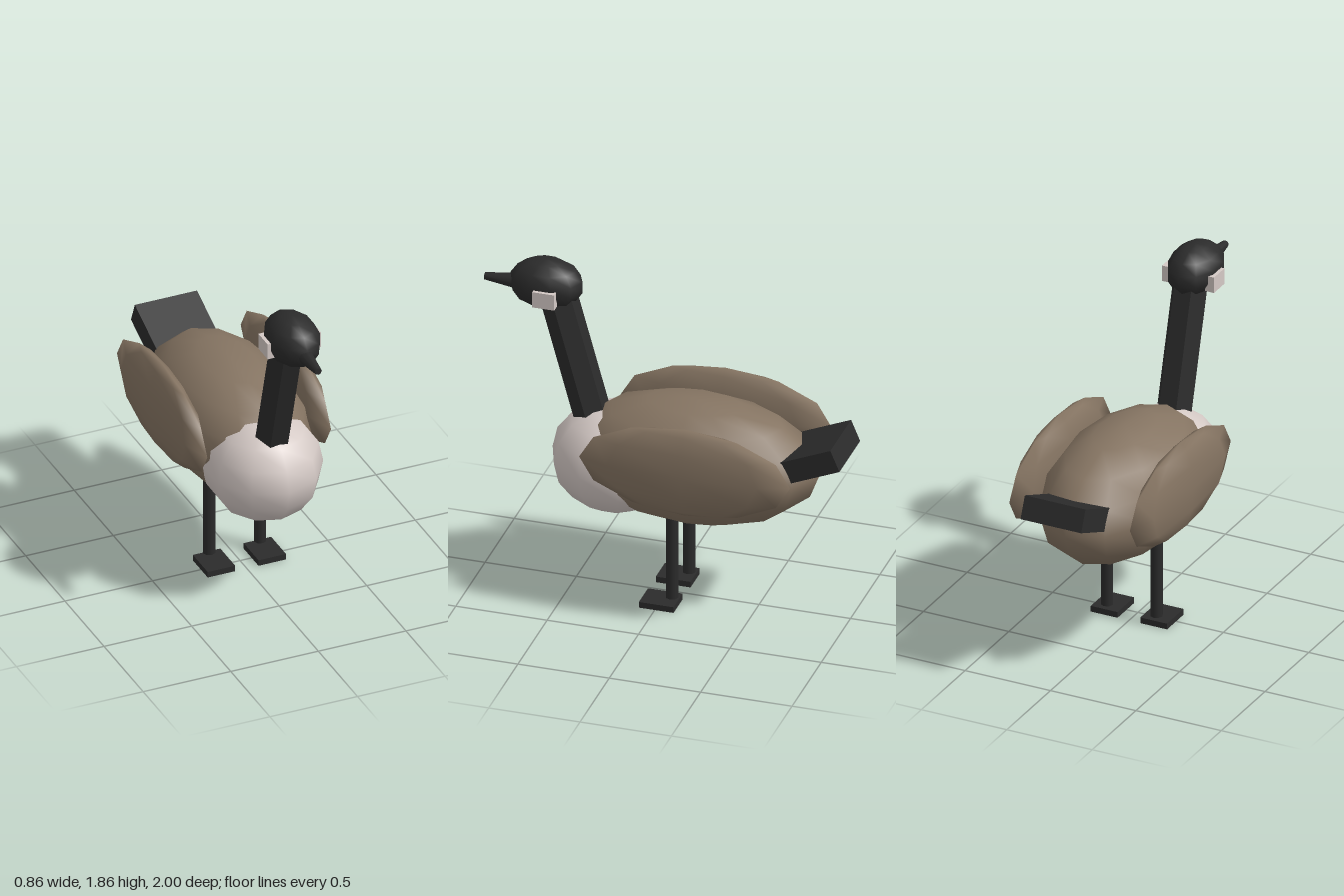
import * as THREE from 'three';

export function createModel() {
  const model = new THREE.Group();
  model.name = 'goose';

  const paint = (name, color) => {
    const m = new THREE.MeshStandardMaterial({ color });
    m.name = name;
    return m;
  };
  const brown = paint('brown feathers', 0x857462);
  const pale = paint('pale feathers', 0xd4c9c5);
  const black = paint('black', 0x2b2b2b);

  const add = (name, geometry, material, x, y, z) => {
    const mesh = new THREE.Mesh(geometry, material);
    mesh.name = name;
    mesh.position.set(x, y, z);
    model.add(mesh);
    return mesh;
  };

  // Low-poly ellipsoid with a column of vertices facing the front
  const ellipsoid = (rx, ry, rz, around, down) =>
    new THREE.SphereGeometry(1, around, down).rotateY(Math.PI / 2).scale(rx, ry, rz);

  // Faceted rod, kept flat on each side
  const rod = (rTop, rBottom, length, sides, turn = 0) => {
    const g = new THREE.CylinderGeometry(rTop, rBottom, length, sides).rotateY(turn).toNonIndexed();
    g.computeVertexNormals();
    return g;
  };

  // Body and breast
  add('body', ellipsoid(0.37, 0.35, 0.68, 12, 8), brown, 0, 0.82, -0.15);
  add('breast', ellipsoid(0.315, 0.3, 0.345, 10, 8), pale, 0, 0.755, 0.285);

  // Neck, leaning forward
  const neck = add('neck', rod(0.1, 0.1, 0.76, 6, Math.PI / 6), black, 0, 1.31, 0.503);
  neck.rotation.x = 0.27;

  // Head and beak
  add('head', ellipsoid(0.143, 0.14, 0.202, 10, 7), black, 0, 1.72, 0.663);
  const beak = add('beak', new THREE.CylinderGeometry(0.02, 0.046, 0.2, 8), black, 0, 1.703, 0.9);
  beak.rotation.x = Math.PI / 2;

  // Tail, tilted upward at the rear
  const tail = add('tail', new THREE.BoxGeometry(0.355, 0.127, 0.35), black, 0, 0.952, -0.81);
  tail.rotation.x = 0.4;

  // Mirrored parts
  for (const [side, s] of [['left', 1], ['right', -1]]) {
    add(side + 'Wing', ellipsoid(0.077, 0.255, 0.577, 8, 6), brown, s * 0.353, 0.918, -0.205);
    add(side + 'Cheek', new THREE.BoxGeometry(0.052, 0.09, 0.12), pale, s * 0.126, 1.69, 0.633);
    add(side + 'Leg', new THREE.CylinderGeometry(0.034, 0.034, 0.51, 8), black, s * 0.145, 0.305, -0.07);
    add(side + 'Foot', new THREE.BoxGeometry(0.157, 0.033, 0.19), black, s * 0.145, 0.0165, -0.008);
  }

  return model;
}
